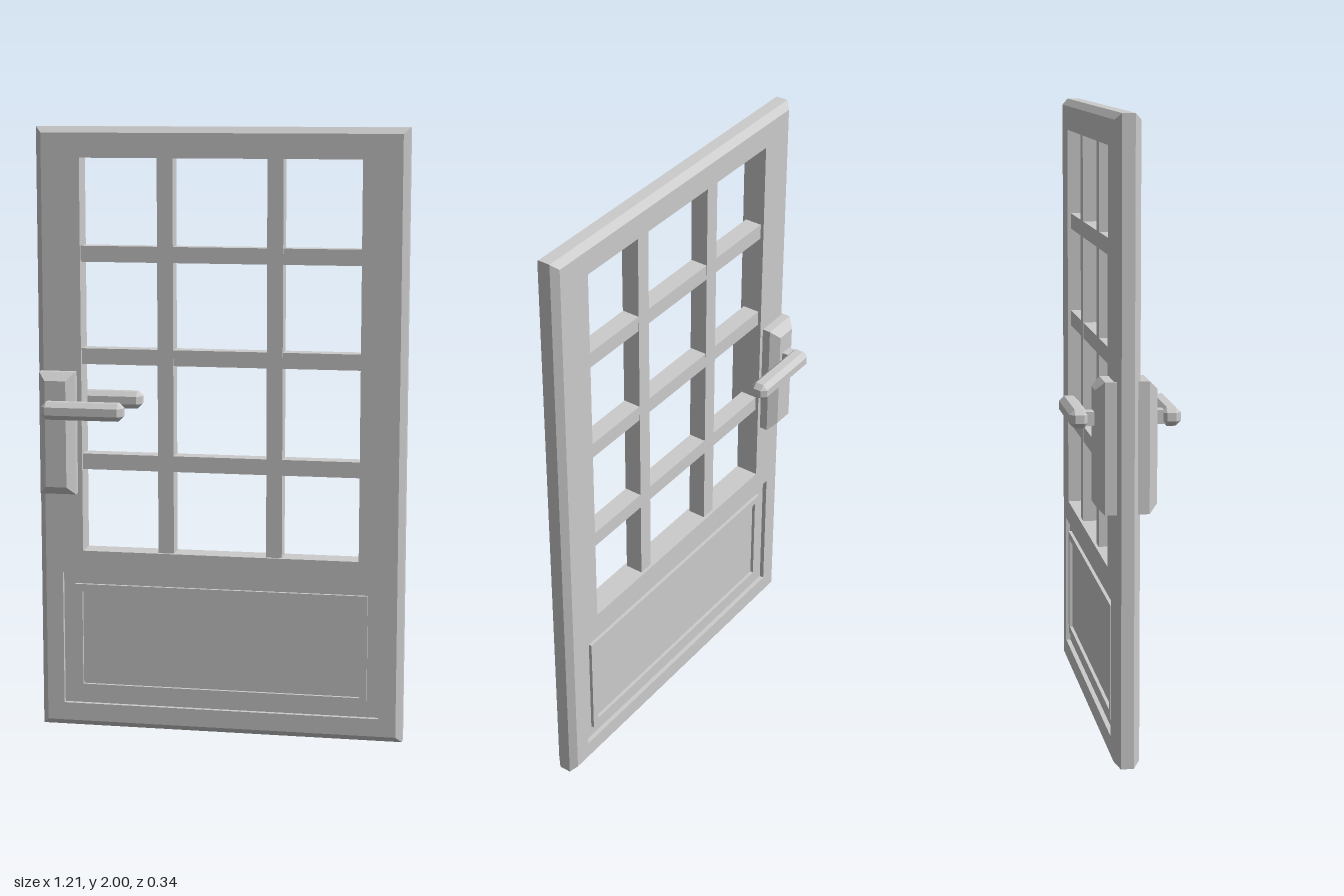
import * as THREE from 'three';
import { ConvexGeometry } from 'three/addons/geometries/ConvexGeometry.js';

const grey = new THREE.MeshStandardMaterial({ color: 0xcccccc });
grey.name = 'plain grey';

function add(parent, name, geometry, x = 0, y = 0, z = 0) {
  const mesh = new THREE.Mesh(geometry, grey);
  mesh.name = name;
  mesh.position.set(x, y, z);
  parent.add(mesh);
  return mesh;
}

// Rectangular outline, counter-clockwise
function rect(path, x0, y0, x1, y1) {
  path.moveTo(x0, y0);
  path.lineTo(x1, y0);
  path.lineTo(x1, y1);
  path.lineTo(x0, y1);
  path.closePath();
  return path;
}

// Slab centred on z = 0 with rectangular holes
function slab(outer, holes, depth) {
  const shape = rect(new THREE.Shape(), ...outer);
  for (const h of holes) shape.holes.push(rect(new THREE.Path(), ...h));
  return new THREE.ExtrudeGeometry(shape, { depth, bevelEnabled: false }).translate(0, 0, -depth / 2);
}

// Flat-sided loft through rectangles [halfWidth, halfHeight, z], listed front to back
function rectLoft(sections, caps) {
  const rings = sections.map(([w, h, z]) => [[-w, -h, z], [w, -h, z], [w, h, z], [-w, h, z]]);
  const pos = [];
  const quad = (a, b, c, d) => pos.push(...a, ...b, ...c, ...a, ...c, ...d);
  for (let s = 0; s + 1 < rings.length; s++) {
    const [a, b] = [rings[s], rings[s + 1]];
    for (let i = 0; i < 4; i++) {
      const j = (i + 1) % 4;
      quad(a[i], b[i], b[j], a[j]);
    }
  }
  if (caps) {
    quad(...rings[0]);
    quad(...rings[rings.length - 1].slice().reverse());
  }
  const g = new THREE.BufferGeometry();
  g.setAttribute('position', new THREE.Float32BufferAttribute(pos, 3));
  g.computeVertexNormals();
  return g;
}

// Box with every edge chamfered
function chamferBox(w, h, d, c) {
  const pts = [];
  for (const sx of [-1, 1]) for (const sy of [-1, 1]) for (const sz of [-1, 1]) {
    for (let k = 0; k < 3; k++) {
      const inset = [c, c, c];
      inset[k] = 0;
      pts.push(new THREE.Vector3(sx * (w / 2 - inset[0]), sy * (h / 2 - inset[1]), sz * (d / 2 - inset[2])));
    }
  }
  return new ConvexGeometry(pts);
}

export function createModel() {
  const door = new THREE.Group();
  door.name = 'door';

  // Frame with window opening and lower panel opening, plus chamfered outer edge
  const W = 0.607, T = 0.04, B = 0.02;
  add(door, 'frame', slab([-W + B, B, W - B, 2 - B],
    [[-0.46, 0.605, 0.46, 1.9], [-0.53, 0.08, 0.53, 0.53]], 2 * T));
  add(door, 'frameEdge', rectLoft([
    [W - B, 1 - B, T], [W, 1, T - B], [W, 1, B - T], [W - B, 1 - B, -T]], false), 0, 1, 0);

  // Window bars
  for (const x of [-0.18, 0.18]) add(door, 'verticalBar', new THREE.BoxGeometry(0.052, 1.31, 0.06), x, 1.2525, 0);
  for (const y of [0.905, 1.255, 1.59]) add(door, 'horizontalBar', new THREE.BoxGeometry(0.93, 0.052, 0.058), 0, y, 0);

  // Recessed lower panel with a raised moulding
  add(door, 'lowerPanel', new THREE.BoxGeometry(1.07, 0.46, 0.05), 0, 0.305, 0);
  add(door, 'panelMoulding', slab([-0.49, 0.122, 0.49, 0.49], [[-0.465, 0.147, 0.465, 0.465]], 0.072));

  // Handle set on both faces
  for (const s of [1, -1]) {
    const handle = new THREE.Group();
    handle.name = s > 0 ? 'frontHandle' : 'backHandle';
    door.add(handle);
    const plate = [[0.035, 0.176, 0.095], [0.06, 0.203, 0.068], [0.06, 0.203, 0.03]];
    const sections = s > 0 ? plate : plate.map(([w, h, z]) => [w, h, -z]).reverse();
    add(handle, 'backPlate', rectLoft(sections, true), -0.535, 1.003, 0);
    add(handle, 'stem', new THREE.BoxGeometry(0.042, 0.042, 0.04), -0.536, 1.09, s * 0.105);
    add(handle, 'lever', chamferBox(0.272, 0.058, 0.06, 0.016), -0.431, 1.09, s * 0.14);
  }
  return door;
}
